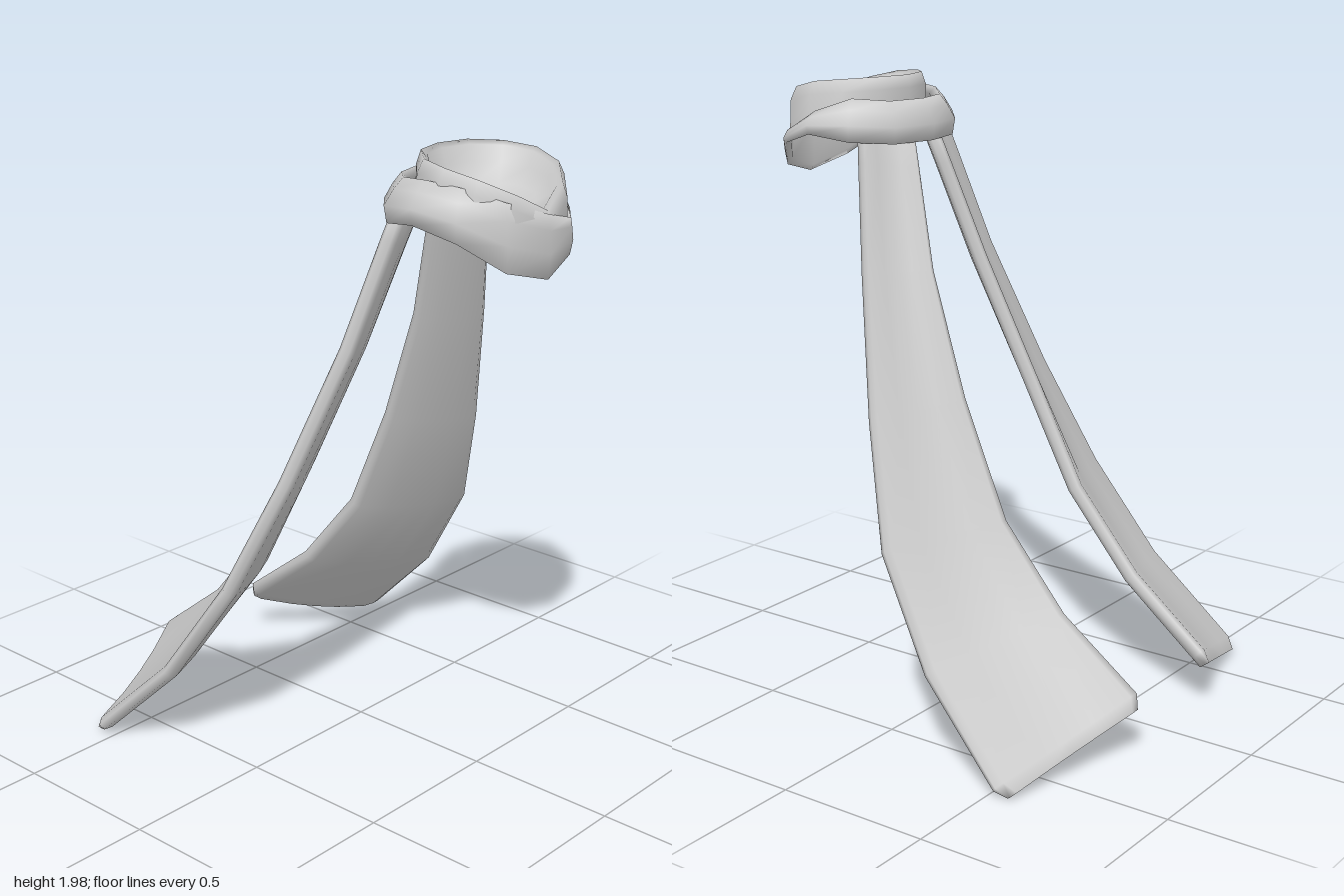
import * as THREE from 'three';

const V = (x, y, z) => new THREE.Vector3(x, y, z);
const material = new THREE.MeshStandardMaterial({ color: 0xcccccc, side: THREE.DoubleSide });

// Skin a list of closed rings; optionally join last to first, or cap the ends.
function loft(name, rings, { loop = false, capStart = false, capEnd = false, flip = false } = {}) {
  const n = rings[0].length, pts = rings.flat(), index = [];
  const tri = (a, b, c) => (flip ? index.push(a, c, b) : index.push(a, b, c));
  const last = loop ? rings.length : rings.length - 1;
  for (let i = 0; i < last; i++) {
    for (let j = 0; j < n; j++) {
      const k = (j + 1) % n, r0 = i * n, r1 = ((i + 1) % rings.length) * n;
      tri(r0 + j, r0 + k, r1 + k);
      tri(r0 + j, r1 + k, r1 + j);
    }
  }
  const cap = (row, reverse) => {
    const c = pts.length;
    pts.push(rings[row].reduce((s, p) => s.add(p), V(0, 0, 0)).divideScalar(n));
    for (let j = 0; j < n; j++) {
      const a = row * n + j, b = row * n + ((j + 1) % n);
      reverse ? tri(c, b, a) : tri(c, a, b);
    }
  };
  if (capStart) cap(0, true);
  if (capEnd) cap(rings.length - 1, false);
  const geo = new THREE.BufferGeometry().setFromPoints(pts);
  geo.setIndex(index);
  geo.computeVertexNormals();
  const mesh = new THREE.Mesh(geo, material);
  mesh.name = name;
  return mesh;
}

// Twelve stations around the neck, starting at the front and turning to +x.
const SIDES = 12;
const around = fn => Array.from({ length: SIDES }, (_, j) => {
  const a = (j / SIDES) * Math.PI * 2;
  return fn(Math.sin(a), Math.cos(a), Math.min(j, SIDES - j), j);
});

// Lower wrap: a fold that droops at the front and crosses over on one side.
function lowerWrap() {
  const hem = [1.66, 1.70, 1.79, 1.83, 1.81, 1.80, 1.80];
  const topY = [1.85, 1.90, 1.94, 1.95, 1.94, 1.93, 1.93];
  const topR = [0.97, 0.92, 0.82, 0.78, 0.8, 0.82, 0.83];
  const crossY = { 1: 1.81, 2: 1.83, 3: 1.90 };
  const crossR = { 1: 0.97, 2: 0.95, 3: 0.86 };
  const ring = (scale, height) => around((s, c, m, j) => {
    const top = crossY[j] ?? topY[m], r = scale(crossR[j] ?? topR[m]);
    return V(0.31 * r * s, height(hem[m], top), 0.46 + 0.265 * r * c);
  });
  return loft('lowerWrap', [
    ring(() => 0.97, h => h),
    ring(() => 1, (h, t) => h + (t - h) * 0.4),
    ring(r => (1 + r) / 2, (h, t) => h + (t - h) * 0.75),
    ring(r => r, (h, t) => t),
    ring(r => r - 0.08, (h, t) => t - 0.02),
    ring(() => 0.91, h => h + 0.02),
  ], { loop: true });
}

// Upper wrap: inner loop rising at the back, closed by a shallow dish.
function upperWrap() {
  const rim = [1.86, 1.915, 1.96, 1.985, 1.995, 2.0, 2.0];
  const ring = (rx, rz, height) => around((s, c, m) => V(rx * s, height(rim[m]), 0.505 + rz * c));
  const dish = (f, drop) => ring(0.195 * f, 0.185 * f, y => y + (1.845 - y) * drop);
  return loft('upperWrap', [
    ring(0.25, 0.21, y => 1.83 + (y - 2) * 0.3),
    ring(0.24, 0.212, y => y - 0.04),
    ring(0.212, 0.205, y => y),
    dish(1, 0.08), dish(0.92, 0.4), dish(0.7, 0.75), dish(0.35, 0.95),
  ], { capEnd: true });
}

// Hanging tail: paired outer and inner edge points from collar to end.
function tail(name, side) {
  const outer = [[0.20, 1.87, 0.34], [0.235, 1.75, 0.31], [0.325, 1.42, 0.23], [0.46, 1.0, 0.10],
    [0.58, 0.64, -0.04], [0.645, 0.32, -0.25], [0.69, 0.05, -0.53], [0.667, 0.025, -0.565]];
  const inner = [[0.04, 1.87, 0.26], [0.07, 1.72, 0.21], [0.13, 1.41, 0.11], [0.18, 1.03, -0.05],
    [0.20, 0.67, -0.22], [0.20, 0.41, -0.44], [0.19, 0.21, -0.70], [0.207, 0.17, -0.715]];
  const O = outer.map(p => V(...p)), I = inner.map(p => V(...p)), end = O.length - 1;
  // across fraction, half thickness
  const half = [[0, 0.012], [0.05, 0.024], [0.3, 0.024], [0.5, 0.024], [0.7, 0.024], [0.95, 0.024], [1, 0.012]];
  const section = [...half, ...half.map(([t, h]) => [t, -h]).reverse()];
  const rings = O.map((o, i) => {
    const a = Math.max(i - 1, 0), b = Math.min(i + 1, end);
    const along = O[b].clone().add(I[b]).sub(O[a]).sub(I[a]);
    const normal = I[i].clone().sub(o).cross(along).normalize();
    const thin = i === end ? 0.7 : 1;
    return section.map(([t, h]) => {
      const bow = 0.02 * 4 * t * (1 - t);
      const p = o.clone().lerp(I[i], t).addScaledVector(normal, h * thin + bow);
      p.x *= side;
      return p;
    });
  });
  return loft(name, rings, { capStart: true, capEnd: true, flip: side < 0 });
}

export function createModel() {
  const scarf = new THREE.Group();
  scarf.name = 'scarf';
  const collar = new THREE.Group();
  collar.name = 'collar';
  collar.add(lowerWrap(), upperWrap());
  scarf.add(collar, tail('leftTail', 1), tail('rightTail', -1));
  return scarf;
}
